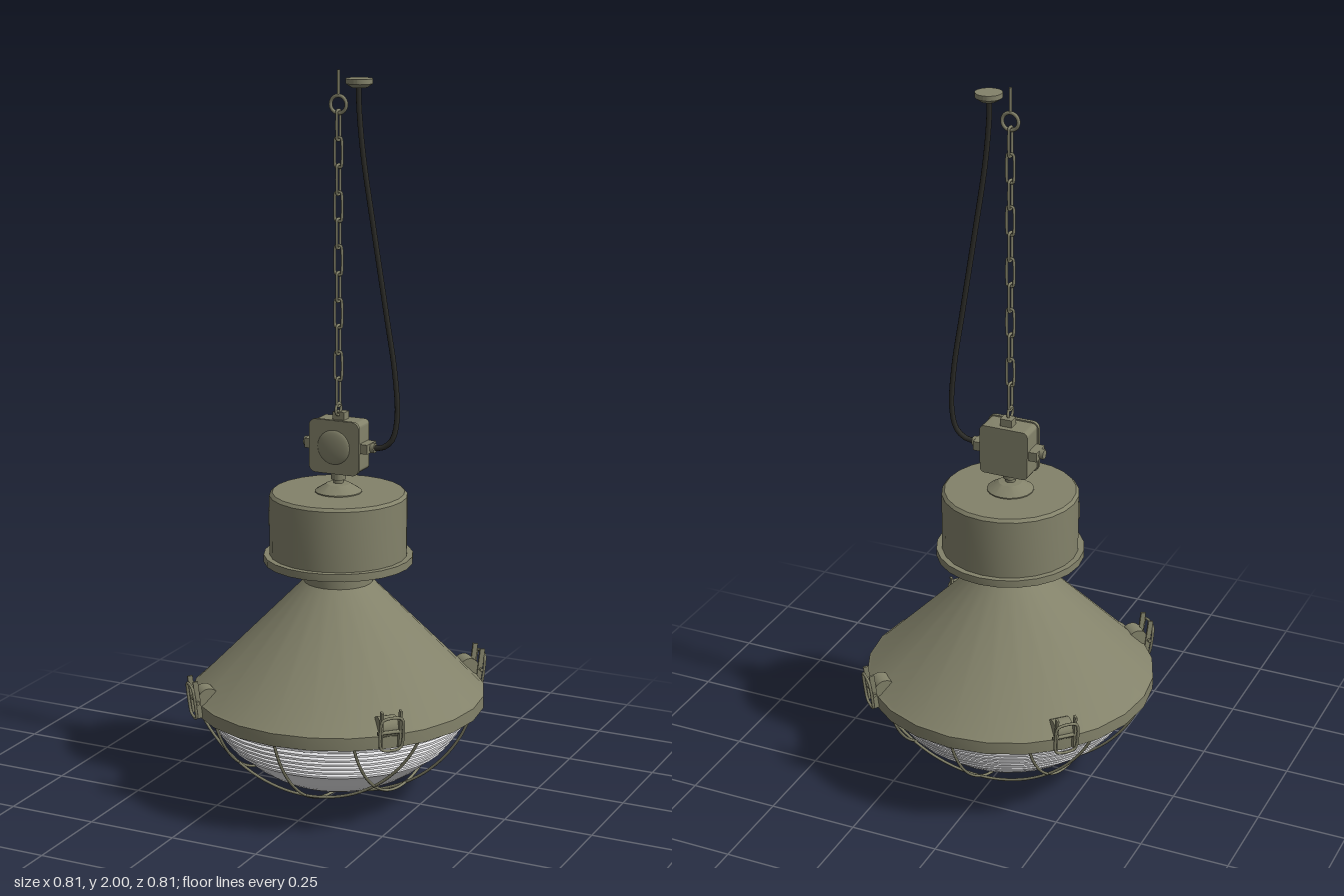
import * as THREE from 'three';
import { toCreasedNormals } from 'three/addons/utils/BufferGeometryUtils.js';

const material = (name, color, side = THREE.FrontSide) =>
  Object.assign(new THREE.MeshStandardMaterial({ color, side }), { name });

export function createModel() {
  const model = new THREE.Group();
  model.name = 'pendantLamp';
  const olive = material('olivePaint', 0x83826a);
  const rubber = material('blackRubber', 0x2c2c28);
  const glass = material('paleGlass', 0xe4e4e6, THREE.DoubleSide);

  const add = (name, geometry, mat, parent = model, x = 0, y = 0, z = 0) => {
    const mesh = new THREE.Mesh(geometry, mat);
    mesh.name = name;
    mesh.position.set(x, y, z);
    parent.add(mesh);
    return mesh;
  };
  const lathe = (points, segments = 24) => toCreasedNormals(
    new THREE.LatheGeometry(points.map(p => new THREE.Vector2(...p)), segments), 0.45);
  const cylinder = (r, h, segments = 16) => new THREE.CylinderGeometry(r, r, h, segments);
  const tube = (points, r, segments, closed = false) => new THREE.TubeGeometry(
    new THREE.CatmullRomCurve3(points.map(p => new THREE.Vector3(...p)), closed, 'centripetal'),
    segments, r, 8, closed);
  // Upright wire loop with rounded corners, w by h overall
  const wireLoop = (w, h, r) => {
    const a = w / 2 - r, b = h / 2 - r, c = a * 0.5;
    const quarter = [[a, b - c], [a - c * 0.3, b - c * 0.3], [a - c, b]];
    const half = [...quarter, ...quarter.map(([x, y]) => [-x, y]).reverse()];
    return tube([...half, ...half.map(([x, y]) => [-x, -y])].map(([x, y]) => [x, y, 0]), r, 48, true);
  };
  // Square plate with rounded corners, facing z
  const roundedPlate = (size, depth, r) => {
    const s = size / 2 - r, shape = new THREE.Shape();
    [[s, s], [-s, s], [-s, -s], [s, -s]].forEach(([x, y], i) =>
      shape.absarc(x, y, r, i * Math.PI / 2, (i + 1) * Math.PI / 2));
    const geometry = new THREE.ExtrudeGeometry(shape, { depth, bevelEnabled: false, curveSegments: 6 });
    return toCreasedNormals(geometry.translate(0, 0, -depth / 2), 0.6);
  };

  // Conical shade with rim and neck
  add('shade', lathe([[0.36, 0.28], [0.365, 0.27], [0.404, 0.27], [0.404, 0.305], [0.396, 0.309],
    [0.095, 0.615], [0.095, 0.69]]), olive);

  // Gear housing with grooved underside and bevelled top
  add('gearHousing', lathe([[0.09, 0.685], [0.12, 0.685], [0.12, 0.675], [0.14, 0.675], [0.14, 0.685],
    [0.165, 0.685], [0.165, 0.67], [0.204, 0.67], [0.204, 0.691], [0.188, 0.691], [0.188, 0.857],
    [0.18, 0.865], [0, 0.865]]), olive);
  const slot = add('housingSlot', new THREE.BoxGeometry(0.006, 0.05, 0.008), olive, model, -0.167, 0.795, 0.082);
  slot.rotation.y = Math.atan2(-0.167, 0.082);
  add('stemCollar', lathe([[0.064, 0.864], [0.064, 0.868], [0.032, 0.888], [0.014, 0.89],
    [0.014, 0.9], [0.02, 0.9], [0.02, 0.928], [0, 0.928]], 20), olive);

  // Glass bowl: ribbed upper band, smooth spherical bottom
  const bowlRadius = y => Math.sqrt(Math.max(0, 0.402 ** 2 - (0.427 - y) ** 2));
  const bowl = [];
  for (let i = 0; i <= 10; i++) {
    const a = i / 10 * 0.8;
    bowl.push([0.402 * Math.sin(a), 0.427 - 0.402 * Math.cos(a)]);
  }
  const ribs = 8, ribBase = bowl[10][1], ribStep = (0.275 - ribBase) / ribs;
  for (let i = 0; i < ribs; i++) {
    const y = ribBase + i * ribStep, r = bowlRadius(y + ribStep * 0.5);
    bowl.push([r + 0.004, y + ribStep * 0.35], [r + 0.004, y + ribStep * 0.7], [r - 0.003, y + ribStep]);
  }
  add('glassBowl', lathe(bowl, 36), glass);

  // Wire guard: three arcs each way lying on one sphere
  const cage = new THREE.Group();
  cage.name = 'wireGuard';
  model.add(cage);
  for (const turn of [0, Math.PI / 2]) {
    for (const offset of [-0.205, 0, 0.205]) {
      const r = Math.sqrt(0.4225 ** 2 - offset ** 2);
      const end = Math.acos(0.155 / r), points = [];
      for (let i = 0; i <= 16; i++) {
        const a = -end + 2 * end * i / 16;
        points.push([offset, 0.429 - r * Math.cos(a), r * Math.sin(a)]);
      }
      add('guardWire', tube(points, 0.004, 40), olive, cage).rotation.y = turn;
    }
  }

  // Four toggle clips around the rim
  for (let i = 0; i < 4; i++) {
    const clip = new THREE.Group();
    clip.name = 'toggleClip';
    clip.rotation.y = Math.PI / 4 + i * Math.PI / 2;
    model.add(clip);
    add('clipCurl', cylinder(0.03, 0.05, 20), olive, clip, 0, 0.322, 0.38).rotation.z = Math.PI / 2;
    add('clipPin', cylinder(0.005, 0.074, 10), olive, clip, 0, 0.318, 0.413).rotation.z = Math.PI / 2;
    for (const x of [-0.026, 0.026]) {
      const strap = add('clipStrap', new THREE.BoxGeometry(0.006, 0.105, 0.014), olive, clip, x, 0.325, 0.412);
      strap.rotation.x = 0.12;
    }
    add('clipBail', wireLoop(0.07, 0.1, 0.004), olive, clip, 0, 0.315, 0.421).rotation.x = 0.12;
  }

  // Junction box with lid, domed disc, cable glands and lug
  const box = new THREE.Group();
  box.name = 'junctionBox';
  box.position.set(0, 0.994, 0);
  model.add(box);
  add('boxBody', roundedPlate(0.14, 0.066, 0.014), olive, box, 0, 0, -0.013);
  add('boxLid', roundedPlate(0.148, 0.01, 0.02), olive, box, 0, 0, 0.025);
  const dome = add('lidDome', new THREE.SphereGeometry(0.048, 24, 8, 0, Math.PI * 2, 0, Math.PI / 2), olive, box, 0, 0, 0.029);
  dome.rotation.x = Math.PI / 2;
  dome.scale.y = 0.2;
  for (const side of [-1, 1]) {
    add('glandBoss', new THREE.BoxGeometry(0.025, 0.026, 0.056), olive, box, side * 0.081, 0, -0.011);
    add('glandNut', cylinder(0.014, 0.014, 6), olive, box, side * 0.098, 0, -0.01).rotation.z = Math.PI / 2;
  }
  add('lug', new THREE.BoxGeometry(0.034, 0.024, 0.03), olive, box, 0, 0.079, -0.015);
  add('lugEye', new THREE.TorusGeometry(0.016, 0.004, 8, 20), olive, box, 0, 0.1, 0).rotation.y = Math.PI / 2;

  // Chain: links alternate by a quarter turn
  const link = wireLoop(0.027, 0.086, 0.0038);
  for (let i = 0; i < 11; i++) {
    add('chainLink', link, olive, model, 0, 1.141 + i * 0.0715, 0).rotation.y = i % 2 ? 0 : Math.PI / 2;
  }
  add('ceilingEye', new THREE.TorusGeometry(0.023, 0.005, 8, 24), olive, model, 0, 1.91, 0);
  add('ceilingPin', cylinder(0.004, 0.065, 10), olive, model, 0, 1.9675, 0);

  // Power cable hanging from its ceiling rose
  add('cable', tube([[0.095, 0.994, -0.01], [0.125, 0.997, -0.011], [0.152, 1.02, -0.014], [0.165, 1.08, -0.018],
    [0.158, 1.2, -0.018], [0.135, 1.36, -0.012], [0.1, 1.59, -0.005], [0.072, 1.78, 0], [0.06, 1.9, 0], [0.058, 1.965, 0]],
    0.0075, 60), rubber);
  add('ceilingRose', lathe([[0, 1.957], [0.022, 1.957], [0.036, 1.967], [0.036, 1.98], [0, 1.98]], 24), olive, model, 0.06, 0, 0);

  return model;
}
